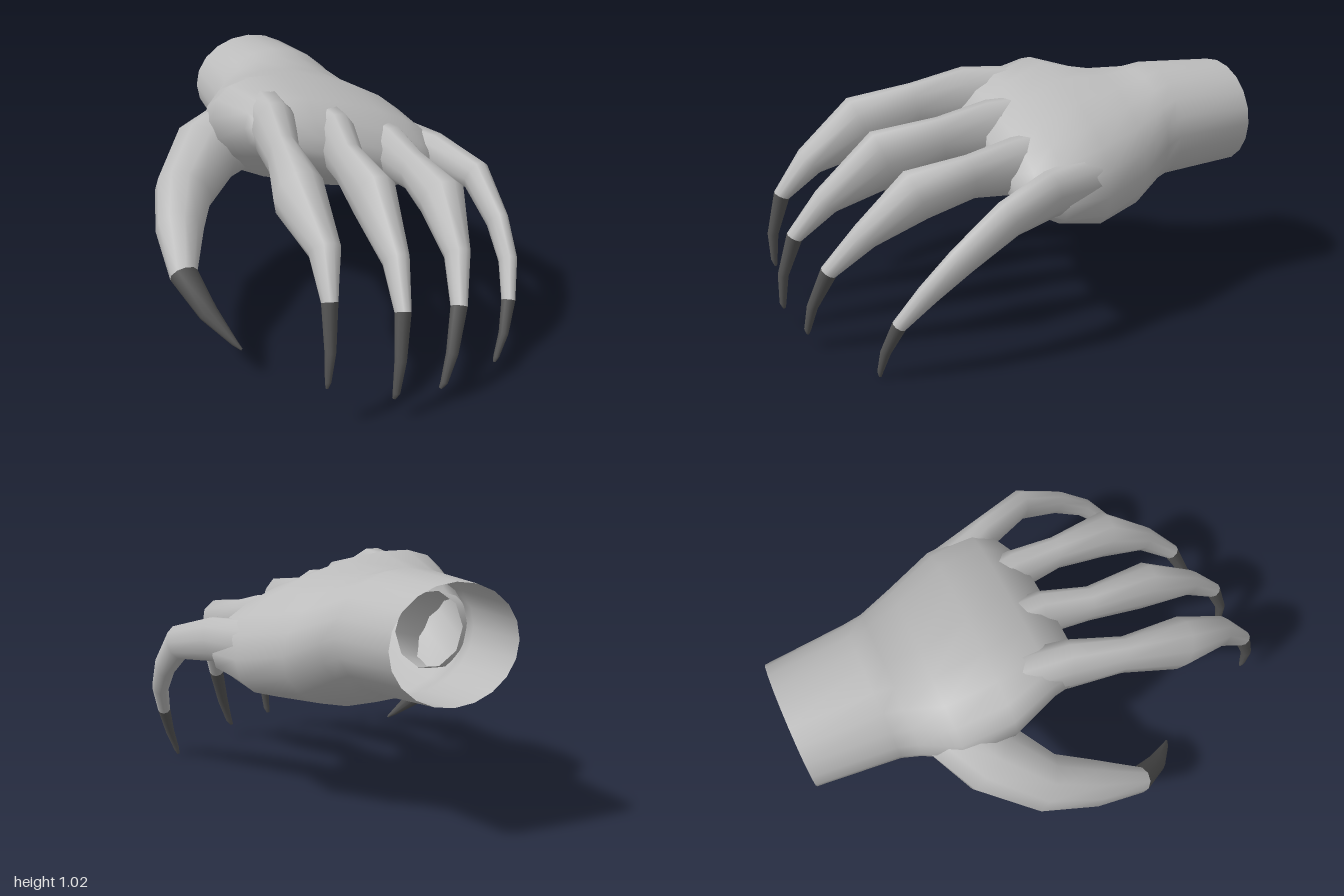
import * as THREE from 'three';

const skin = new THREE.MeshStandardMaterial({ color: 0xbcbcbc, side: THREE.DoubleSide });
skin.name = 'grey skin';
const claw = new THREE.MeshStandardMaterial({ color: 0x545454, side: THREE.DoubleSide });
claw.name = 'dark claw';

// Skin a list of rings (arrays of Vector3), closing the far end if asked
function loft(name, rings, material, capEnd) {
  const n = rings[0].length, pos = [], index = [];
  rings.forEach(r => r.forEach(p => pos.push(p.x, p.y, p.z)));
  for (let i = 0; i < rings.length - 1; i++) {
    for (let j = 0; j < n; j++) {
      const k = (j + 1) % n, a = i * n, b = a + n;
      index.push(a + j, a + k, b + j, a + k, b + k, b + j);
    }
  }
  if (capEnd) {
    const last = rings[rings.length - 1], c = new THREE.Vector3();
    last.forEach(p => c.addScaledVector(p, 1 / n));
    pos.push(c.x, c.y, c.z);
    const a = (rings.length - 1) * n;
    for (let j = 0; j < n; j++) index.push(a + j, a + (j + 1) % n, rings.length * n);
  }
  const g = new THREE.BufferGeometry();
  g.setAttribute('position', new THREE.Float32BufferAttribute(pos, 3));
  g.setIndex(index);
  g.computeVertexNormals();
  const mesh = new THREE.Mesh(g, material);
  mesh.name = name;
  return mesh;
}

// Elliptical rings square to a path; each row is x, y, z, half width, half height
function pathRings(rows, across, sides = 10) {
  const pts = rows.map(r => new THREE.Vector3(r[0], r[1], r[2]));
  return rows.map((r, i) => {
    const t = new THREE.Vector3();
    if (i > 0) t.add(pts[i].clone().sub(pts[i - 1]).normalize());
    if (i < pts.length - 1) t.add(pts[i + 1].clone().sub(pts[i]).normalize());
    t.normalize();
    const up = t.clone().cross(across).normalize();
    const side = up.clone().cross(t);
    return Array.from({ length: sides }, (_, j) => {
      const a = j / sides * Math.PI * 2;
      return pts[i].clone()
        .addScaledVector(side, r[3] * Math.cos(a))
        .addScaledVector(up, r[4] * Math.sin(a));
    });
  });
}

// A digit is flesh up to the claw base, then a tapering claw
function digit(name, flesh, nail, across) {
  const rings = pathRings([...flesh, ...nail], across);
  const g = new THREE.Group();
  g.name = name;
  g.add(loft(name + 'Flesh', rings.slice(0, flesh.length), skin, false));
  g.add(loft(name + 'Claw', rings.slice(flesh.length - 1), claw, true));
  return g;
}

export function createModel() {
  const model = new THREE.Group();
  model.name = 'clawedHand';

  // Wrist and palm: z, centre x, centre y, half width, half height, sideways slope, squareness
  const sections = [
    [-1, 0.06, 0.775, 0.27, 0.225, 0, 2],
    [-0.65, 0.06, 0.77, 0.3, 0.247, 0, 2],
    [-0.57, 0.06, 0.75, 0.325, 0.25, -0.03, 2],
    [-0.42, 0.06, 0.72, 0.41, 0.265, -0.12, 2.1],
    [-0.2, 0.1, 0.75, 0.475, 0.25, -0.25, 2.3],
    [0, 0.15, 0.755, 0.45, 0.18, -0.28, 2.4],
    [0.09, 0.13, 0.75, 0.41, 0.13, -0.28, 2.4],
    [0.15, 0.1, 0.745, 0.33, 0.07, -0.28, 2.2],
  ];
  const palmRings = sections.map(([z, cx, cy, a, b, slope, e]) =>
    Array.from({ length: 20 }, (_, j) => {
      const t = j / 20 * Math.PI * 2, c = Math.cos(t), s = Math.sin(t);
      const dx = a * Math.sign(c) * Math.abs(c) ** (2 / e);
      const dy = b * Math.sign(s) * Math.abs(s) ** (2 / e);
      return new THREE.Vector3(cx + dx, cy + slope * dx + dy, z);
    }));
  model.add(loft('wristAndPalm', palmRings, skin, true));

  const x = new THREE.Vector3(1, 0, 0);
  // Index finger
  model.add(digit('indexFinger', [
    [-0.15, 0.9, -0.2, 0.1, 0.1],
    [-0.2, 0.88, 0.1, 0.09, 0.14],
    [-0.245, 0.85, 0.32, 0.065, 0.11],
    [-0.275, 0.79, 0.56, 0.102, 0.13],
    [-0.265, 0.66, 0.79, 0.063, 0.065],
    [-0.295, 0.515, 0.91, 0.032, 0.035],
  ], [
    [-0.31, 0.34, 0.955, 0.022, 0.023],
    [-0.318, 0.22, 0.955, 0.012, 0.014],
    [-0.32, 0.19, 0.95, 0.006, 0.006],
  ], x));
  // Middle finger
  model.add(digit('middleFinger', [
    [0.08, 0.84, -0.15, 0.09, 0.1],
    [0.075, 0.8, 0.1, 0.08, 0.14],
    [0.04, 0.775, 0.31, 0.062, 0.105],
    [0.036, 0.73, 0.56, 0.087, 0.125],
    [0.018, 0.575, 0.8, 0.052, 0.06],
    [-0.012, 0.43, 0.93, 0.032, 0.034],
  ], [
    [-0.04, 0.26, 0.98, 0.024, 0.022],
    [-0.056, 0.13, 0.985, 0.015, 0.014],
    [-0.062, 0.105, 0.98, 0.008, 0.007],
  ], x));
  // Ring finger
  model.add(digit('ringFinger', [
    [0.29, 0.75, -0.15, 0.09, 0.1],
    [0.325, 0.725, 0.1, 0.08, 0.12],
    [0.335, 0.71, 0.3, 0.062, 0.09],
    [0.347, 0.67, 0.53, 0.095, 0.105],
    [0.315, 0.52, 0.73, 0.052, 0.058],
    [0.258, 0.37, 0.865, 0.033, 0.035],
  ], [
    [0.205, 0.21, 0.925, 0.025, 0.022],
    [0.168, 0.1, 0.94, 0.015, 0.014],
    [0.155, 0.075, 0.937, 0.007, 0.007],
  ], x));
  // Little finger
  model.add(digit('littleFinger', [
    [0.48, 0.68, -0.15, 0.09, 0.1],
    [0.56, 0.675, 0.06, 0.065, 0.095],
    [0.645, 0.635, 0.27, 0.06, 0.075],
    [0.65, 0.5, 0.46, 0.043, 0.06],
    [0.632, 0.38, 0.59, 0.037, 0.045],
    [0.585, 0.25, 0.69, 0.028, 0.03],
  ], [
    [0.545, 0.13, 0.735, 0.02, 0.021],
    [0.51, 0.035, 0.748, 0.012, 0.012],
    [0.503, 0.012, 0.747, 0.006, 0.006],
  ], x));
  // Thumb
  model.add(digit('thumb', [
    [-0.18, 0.73, -0.41, 0.16, 0.16],
    [-0.38, 0.68, -0.31, 0.155, 0.155],
    [-0.53, 0.57, -0.15, 0.125, 0.13],
    [-0.605, 0.495, 0.05, 0.1, 0.1],
    [-0.648, 0.385, 0.245, 0.058, 0.063],
  ], [
    [-0.59, 0.265, 0.37, 0.04, 0.042],
    [-0.515, 0.165, 0.465, 0.014, 0.014],
    [-0.492, 0.14, 0.487, 0.005, 0.005],
  ], new THREE.Vector3(0.9, 0, 0.45)));

  return model;
}
